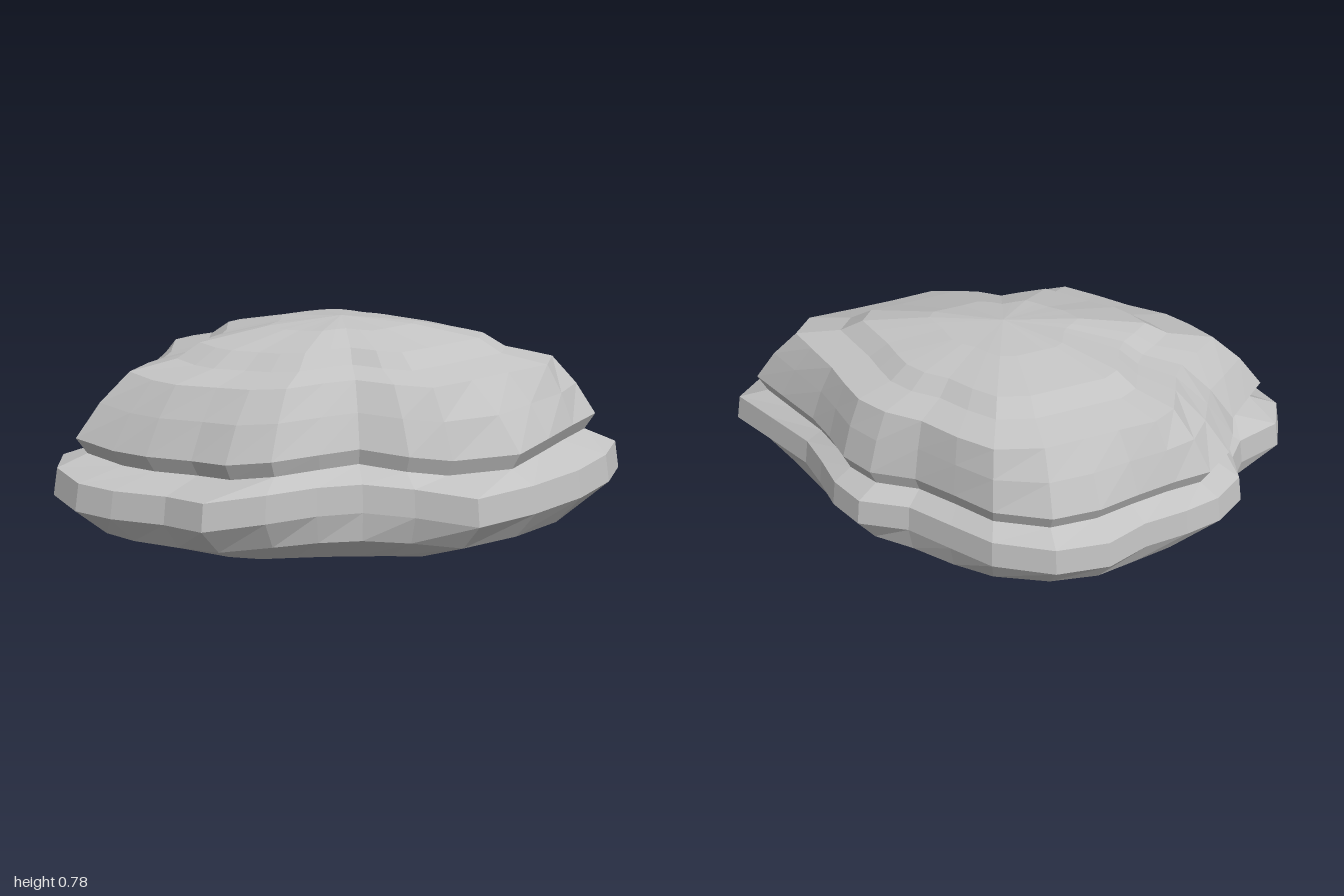
import * as THREE from 'three';

// Shared directions in degrees, turning from +x towards +z
const ANGLES = [1.5, 10, 20, 33, 50, 64, 81, 97, 111, 125, 137, 148, 155.5, 164, 171.5, 178,
  185, 192, 201, 209, 220, 233, 248, 266, 281, 299, 314, 326, 336, 345, 355];
// Outline radii in those directions
const LOWER = [1.0, .965, .893, .802, .738, .594, .535, .572, .668, .786, .802, .914, .995, 1.04, 1.01, .872,
  .85, .893, .861, .797, .727, .738, .711, .647, .578, .556, .652, .674, .685, .722, .861];
const UPPER = [.91, .83, .77, .735, .60, .545, .457, .525, .615, .656, .68, .775, .855, .955, .875, .825,
  .83, .835, .81, .73, .675, .665, .655, .60, .53, .51, .59, .625, .64, .685, .80];
const SHOULDER = [.75, .735, .62, .54, .495, .425, .355, .40, .485, .52, .565, .655, .705, .76, .685, .63,
  .615, .63, .66, .64, .575, .545, .545, .535, .49, .465, .515, .555, .575, .605, .68];
// Rise and fall of the layers in those directions
const WAVE = [.025, .015, 0, -.015, -.022, 0, .015, .015, .005, -.018, -.026, -.028, -.025, -.008, 0, 0,
  .005, .005, .005, 0, -.005, 0, .005, .005, 0, -.005, -.01, -.01, 0, .01, .02];
const N = ANGLES.length;

// Mix of two outlines
const mix = (a, b, t) => a.map((r, i) => r + (b[i] - r) * t);

// Outline averaged over its neighbours
const soften = (outline) => outline.map((_, i) =>
  [-2, -1, 0, 1, 2].reduce((sum, d) => sum + outline[(i + d + N) % N], 0) / 5);

// One closed ring: outline scaled, set at height y with a share of the wave
function ring(outline, scale, y, wave = 1) {
  return outline.map((r, i) => {
    const a = THREE.MathUtils.degToRad(ANGLES[i]);
    return new THREE.Vector3(Math.cos(a) * r * scale, y + wave * WAVE[i], Math.sin(a) * r * scale);
  });
}

// Faceted skin through rings listed from bottom to top
function skin(rings) {
  const pos = [];
  const tri = (a, b, c) => {
    if (a.equals(b) || b.equals(c) || a.equals(c)) return;
    for (const p of [a, b, c]) pos.push(p.x, p.y, p.z);
  };
  for (let j = 0; j < rings.length - 1; j++) {
    for (let i = 0; i < N; i++) {
      const k = (i + 1) % N;
      const [a, b, c, d] = [rings[j][i], rings[j][k], rings[j + 1][k], rings[j + 1][i]];
      tri(a, d, b);
      tri(b, d, c);
    }
  }
  const geo = new THREE.BufferGeometry();
  geo.setAttribute('position', new THREE.Float32BufferAttribute(pos, 3));
  geo.computeVertexNormals();
  return geo;
}

const point = (y) => ring(LOWER, 0, y, 0);

export function createModel() {
  const stone = new THREE.MeshStandardMaterial({ color: 0xc2c2c2 });
  stone.name = 'grey stone';
  const group = new THREE.Group();
  group.name = 'layeredRock';

  const add = (name, rings) => {
    const mesh = new THREE.Mesh(skin(rings), stone);
    mesh.name = name;
    group.add(mesh);
  };

  const base = soften(LOWER);
  const groove = ring(UPPER, 0.96, 0.353);
  const shoulder = ring(SHOULDER, 1, 0.633, 0.5);

  // Wide lower slab, from the rounded underside up to the groove
  add('lowerSlab', [
    point(0.025),
    ring(base, 0.63, 0.012, 0.4),
    ring(mix(LOWER, base, 0.5), 0.91, 0.11, 0.8),
    ring(LOWER, 1, 0.21),
    ring(LOWER, 0.985, 0.308),
    groove,
  ]);

  // Upper slab, overhanging the groove and leaning in to the shoulder
  add('upperSlab', [
    groove,
    ring(UPPER, 1, 0.41),
    ring(mix(UPPER, SHOULDER, 0.45), 1, 0.53, 0.7),
    shoulder,
  ]);

  // Low domed top with a small step
  add('domedTop', [
    shoulder,
    ring(SHOULDER, 0.78, 0.668, 0.4),
    ring(SHOULDER, 0.67, 0.72, 0.3),
    ring(SHOULDER, 0.35, 0.764, 0.15),
    point(0.785),
  ]);

  return group;
}
